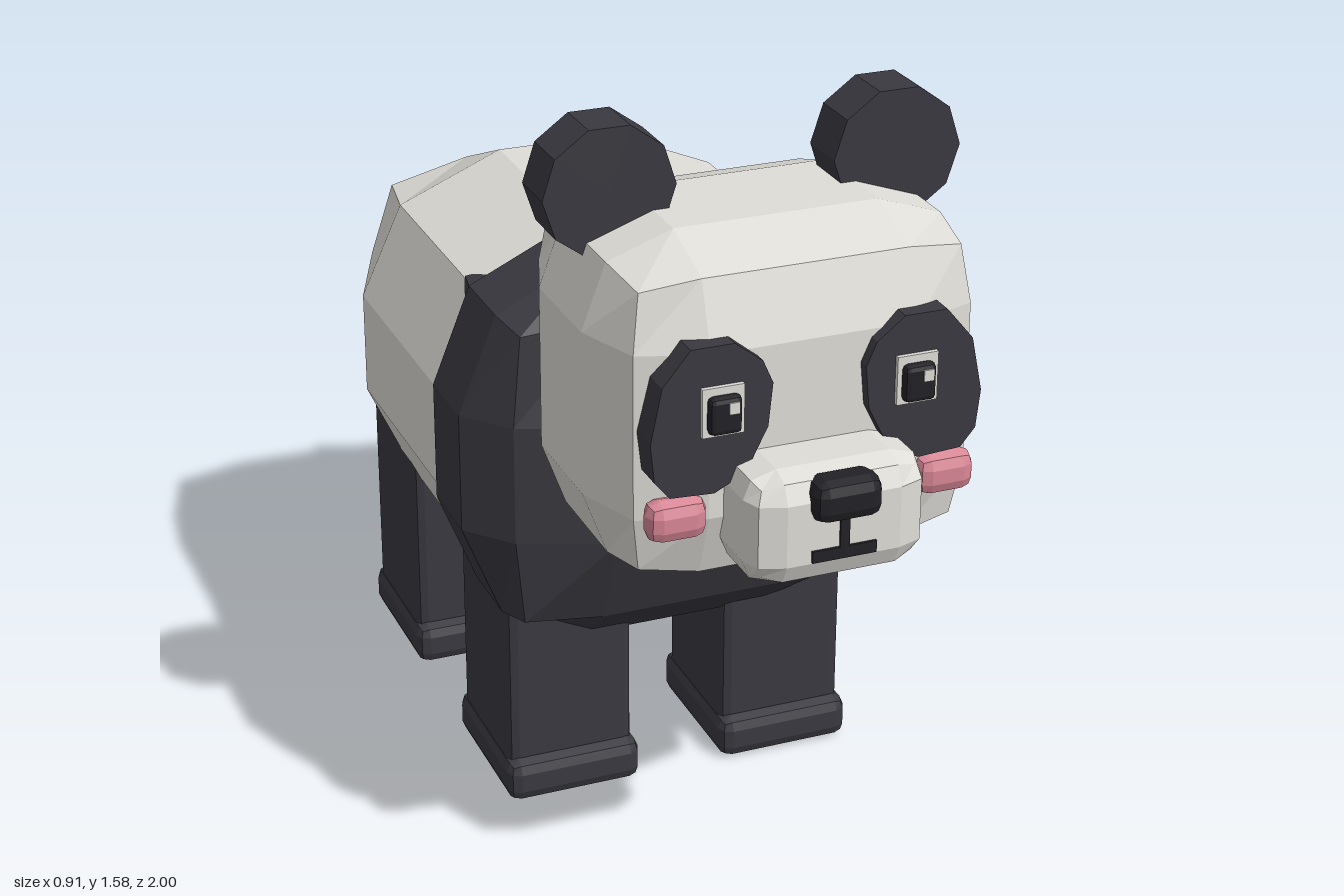
import * as THREE from 'three';
import { RoundedBoxGeometry } from 'three/addons/geometries/RoundedBoxGeometry.js';

const mat = (name, color) => {
  const m = new THREE.MeshStandardMaterial({ color, flatShading: true });
  m.name = name;
  return m;
};

// Box cut 3 x 3 x 3 and rounded. Each axis lists the distance from the centre of
// [face, edge, corner, inner cut] vertices.
function softBlock(ax, ay, az) {
  const geo = new THREE.BoxGeometry(2, 2, 2, 3, 3, 3);
  const p = geo.attributes.position;
  const place = (v, axis, outerCount) =>
    Math.sign(v) * (Math.abs(v) > 0.9 ? axis[outerCount - 1] : axis[3]);
  for (let i = 0; i < p.count; i++) {
    const v = [p.getX(i), p.getY(i), p.getZ(i)];
    const n = v.filter((c) => Math.abs(c) > 0.9).length;
    p.setXYZ(i, place(v[0], ax, n), place(v[1], ay, n), place(v[2], az, n));
  }
  geo.computeVertexNormals();
  return geo;
}

const bevelBox = (w, h, d, r) => new RoundedBoxGeometry(w, h, d, 1, r);

export function createModel() {
  const group = new THREE.Group();
  const white = mat('warm white fur', 0xdfddd7);
  const black = mat('charcoal fur', 0x3a3940);
  const dark = mat('nose and pupil black', 0x222126);
  const pink = mat('cheek pink', 0xd88796);

  const add = (name, geo, material, x, y, z) => {
    const mesh = new THREE.Mesh(geo, material);
    mesh.name = name;
    mesh.position.set(x, y, z);
    group.add(mesh);
    return mesh;
  };

  // Body with a dark band over the shoulders
  add('body', softBlock(
    [0.445, 0.355, 0.31, 0.13], [0.4, 0.305, 0.27, 0.11], [0.57, 0.48, 0.46, 0.25]
  ), white, 0, 0.755, -0.25);
  add('shoulders', softBlock(
    [0.455, 0.375, 0.355, 0.19], [0.412, 0.325, 0.31, 0.125], [0.25, 0.175, 0.165, 0.08]
  ), black, 0, 0.755, 0.1);

  // Tail, one point upward
  const tailGeo = new THREE.IcosahedronGeometry(0.125, 0);
  tailGeo.rotateZ(Math.atan(2 / (1 + Math.sqrt(5))));
  add('tail', tailGeo, white, 0, 0.68, -0.893);

  // Head and muzzle
  add('head', softBlock(
    [0.375, 0.328, 0.312, 0.2], [0.332, 0.287, 0.27, 0.16], [0.285, 0.242, 0.225, 0.11]
  ), white, 0, 1.078, 0.545);
  add('muzzle', softBlock(
    [0.172, 0.158, 0.148, 0.11], [0.11, 0.096, 0.085, 0.06], [0.105, 0.088, 0.075, 0.05]
  ), white, 0, 0.93, 0.865);
  add('nose', bevelBox(0.132, 0.08, 0.08, 0.024), dark, 0, 0.992, 0.96);
  add('mouthLine', new THREE.BoxGeometry(0.018, 0.09, 0.012), dark, 0, 0.925, 0.969);
  add('mouthBar', new THREE.BoxGeometry(0.125, 0.023, 0.012), dark, 0, 0.884, 0.969);

  // Eye patch outline for the +x side; the other side is mirrored
  const patch = [
    [0.247, 1.264], [0.164, 1.264], [0.11, 1.222], [0.09, 1.177], [0.098, 1.094], [0.14, 1.01],
    [0.2, 0.98], [0.285, 0.985], [0.314, 1.02], [0.322, 1.094], [0.3, 1.2],
  ];

  for (const s of [1, -1]) {
    const side = s > 0 ? 'left' : 'right';

    // Ear
    const earGeo = new THREE.CylinderGeometry(0.128, 0.128, 0.105, 10);
    earGeo.rotateX(Math.PI / 2);
    earGeo.rotateZ(Math.PI / 10 + Math.PI / 10);
    // flat sides face straight up and down
    earGeo.rotateZ(-Math.PI / 10);
    add(side + 'Ear', earGeo, black, s * 0.283, 1.455, 0.508);

    // Eye patch, eye, pupil and highlight
    const shape = new THREE.Shape(patch.map(([x, y]) => new THREE.Vector2(s * x, y)));
    add(side + 'EyePatch', new THREE.ExtrudeGeometry(shape, { depth: 0.085, bevelEnabled: false }),
      black, 0, 0, 0.768);
    add(side + 'EyeWhite', new THREE.BoxGeometry(0.08, 0.094, 0.02), white, s * 0.188, 1.142, 0.852);
    add(side + 'Pupil', bevelBox(0.062, 0.072, 0.03, 0.01), dark, s * 0.188, 1.138, 0.865);
    add(side + 'EyeHighlight', new THREE.BoxGeometry(0.02, 0.022, 0.006), white,
      s * 0.188 + 0.013, 1.154, 0.88);

    // Cheek
    add(side + 'Cheek', bevelBox(0.115, 0.08, 0.06, 0.026), pink, s * 0.264, 0.93, 0.825);

    // Legs and feet
    for (const [end, z] of [['Front', 0.052], ['Back', -0.562]]) {
      add(side + end + 'Leg', bevelBox(0.272, 0.55, 0.3, 0.022), black, s * 0.236, 0.315, z);
      add(side + end + 'Foot', bevelBox(0.29, 0.092, 0.342, 0.026), black, s * 0.236, 0.046, z + 0.008);
    }
  }
  return group;
}
